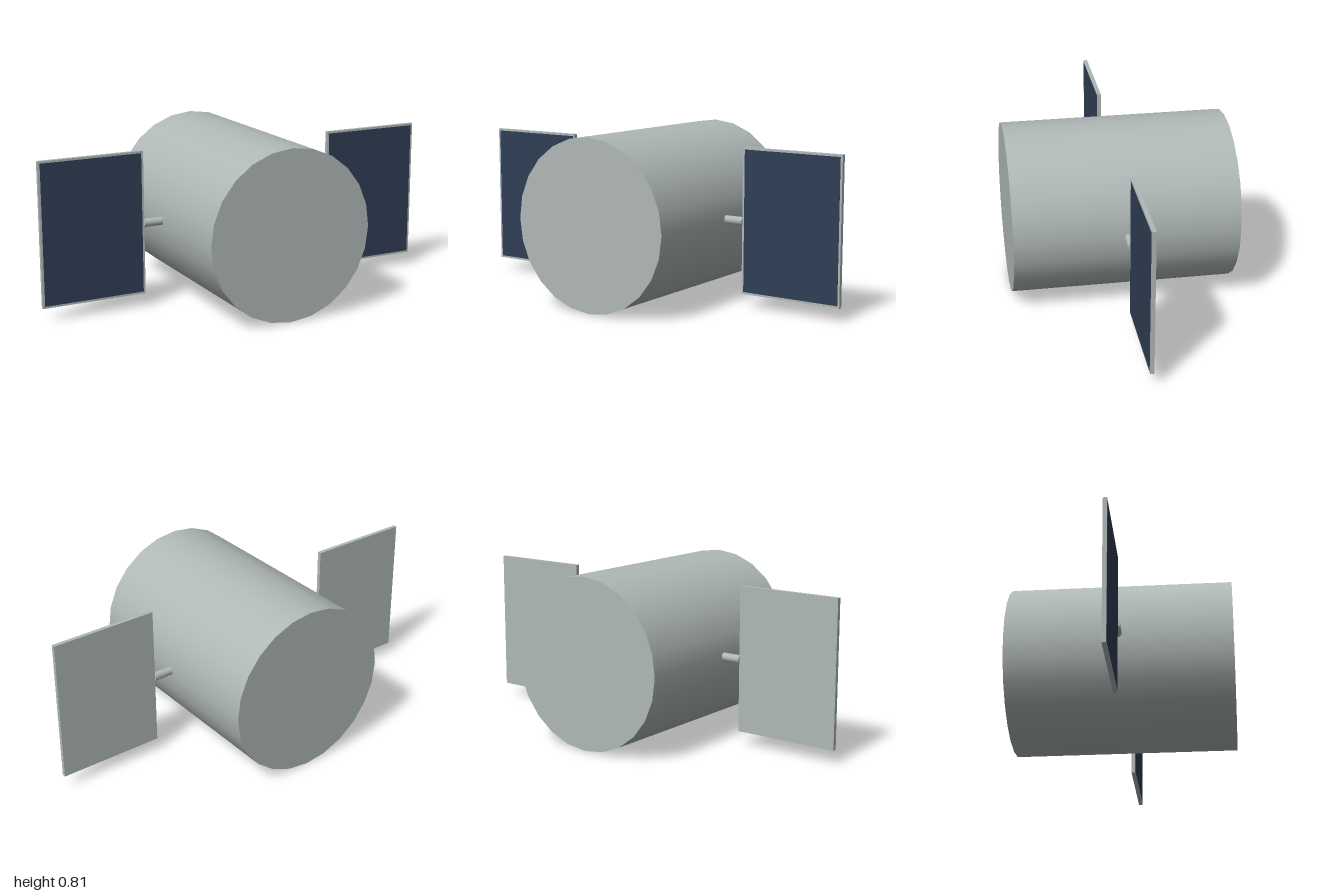
import * as THREE from 'three';

export function createModel() {
  const model = new THREE.Group();
  const metal = new THREE.MeshStandardMaterial({ color: 0xb0b8b8 });
  metal.name = 'paleMetal';
  const cell = new THREE.MeshStandardMaterial({ color: 0x2f3e54 });
  cell.name = 'darkBlueCell';

  const radius = 0.404, length = 1.052;
  const add = (parent, name, geometry, material, x, y, z) => {
    const mesh = new THREE.Mesh(geometry, material);
    mesh.name = name;
    mesh.position.set(x, y, z);
    parent.add(mesh);
  };

  // Drum body lying along z
  const drum = new THREE.CylinderGeometry(radius, radius, length, 24).rotateX(Math.PI / 2);
  add(model, 'body', drum, metal, 0, radius, 0);

  // Strut and solar panel on each side
  const strut = new THREE.CylinderGeometry(0.02, 0.02, 0.12, 12).rotateZ(Math.PI / 2);
  const panel = new THREE.BoxGeometry(0.506, 0.684, 0.019);
  const cells = new THREE.BoxGeometry(0.486, 0.664, 0.002);
  for (const side of [1, -1]) {
    const wing = new THREE.Group();
    wing.name = side > 0 ? 'leftWing' : 'rightWing';
    add(wing, 'strut', strut, metal, side * 0.435, radius, 0);
    add(wing, 'panel', panel, metal, side * 0.747, radius + 0.002, 0);
    add(wing, 'solarCells', cells, cell, side * 0.747, radius + 0.002, 0.0095);
    model.add(wing);
  }
  return model;
}
